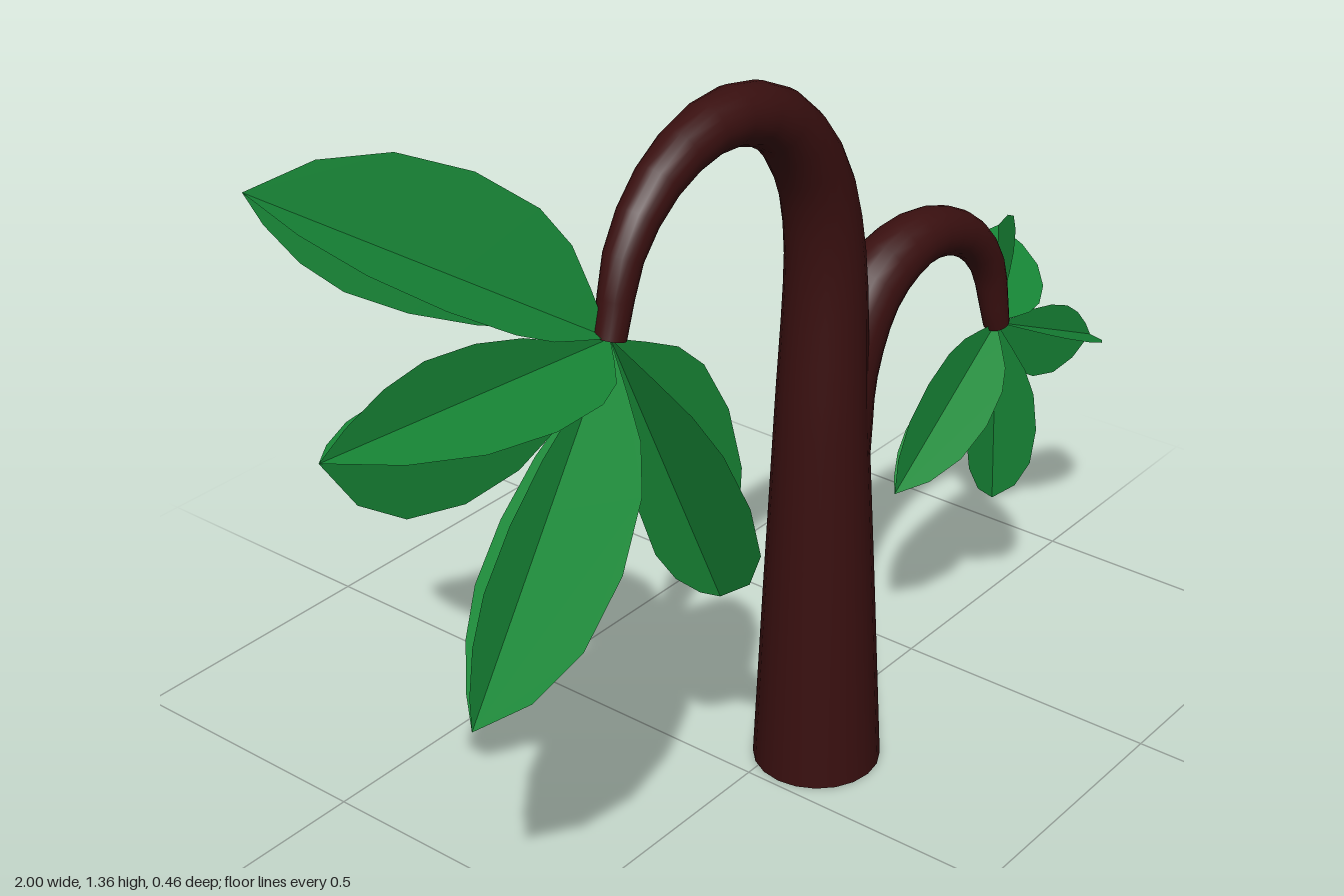
import * as THREE from 'three';

const Z = 0.055; // plane in which both stems bend
const bark = new THREE.MeshStandardMaterial({ color: 0x3a1010, side: THREE.DoubleSide });
const green = new THREE.MeshStandardMaterial({ color: 0x188a38, side: THREE.DoubleSide });

// Tapered bent tube with closed ends; each point is [x, y, radius]
function stem(name, points, segments) {
  const group = new THREE.Group();
  group.name = name;
  const curve = new THREE.CatmullRomCurve3(points.map(([x, y]) => new THREE.Vector3(x, y, Z)));
  const sides = 20;
  const geo = new THREE.TubeGeometry(curve, segments, 1, sides);
  const pos = geo.attributes.position;
  const v = new THREE.Vector3();
  const radiusAt = (u) => {
    const k = curve.getUtoTmapping(u) * (points.length - 1);
    const i = Math.min(Math.floor(k), points.length - 2);
    return THREE.MathUtils.lerp(points[i][2], points[i + 1][2], k - i);
  };
  for (let i = 0; i <= segments; i++) {
    const centre = curve.getPointAt(i / segments);
    const r = radiusAt(i / segments);
    for (let j = 0; j <= sides; j++) {
      const n = i * (sides + 1) + j;
      v.fromBufferAttribute(pos, n).sub(centre).multiplyScalar(r).add(centre);
      pos.setXYZ(n, v.x, v.y, v.z);
    }
  }
  const tube = new THREE.Mesh(geo, bark);
  tube.name = name + 'Tube';
  group.add(tube);
  for (const u of [0, 1]) {
    const cap = new THREE.Mesh(new THREE.CircleGeometry(radiusAt(u), sides), bark);
    const out = curve.getTangentAt(u).multiplyScalar(u ? 1 : -1);
    cap.position.copy(curve.getPointAt(u));
    cap.quaternion.setFromUnitVectors(new THREE.Vector3(0, 0, 1), out);
    cap.name = name + 'End';
    group.add(cap);
  }
  return group;
}

// Lopsided leaf outline, base at the origin and tip at x = 1; +y is the wide side
const outline = [
  [0, 0], [0.11, 0.1], [0.21, 0.185], [0.33, 0.24], [0.52, 0.262], [0.72, 0.23], [0.88, 0.14],
  [1, 0], [0.92, -0.055], [0.8, -0.11], [0.67, -0.138], [0.5, -0.13], [0.33, -0.095], [0.17, -0.04],
];
const leafGeometry = new THREE.ShapeGeometry(new THREE.Shape(outline.map(([x, y]) => new THREE.Vector2(x, y))));

// Leaf of two crossed blades sharing the line from base to tip
function leaf(name, base, tip, wide, widthScale) {
  const group = new THREE.Group();
  group.name = name;
  const along = new THREE.Vector3(...tip).sub(base);
  const length = along.length();
  along.normalize();
  const a = new THREE.Vector3(...wide);
  a.addScaledVector(along, -a.dot(along)).normalize();
  const b = new THREE.Vector3().crossVectors(along, a);
  if (b.z < 0) b.negate();
  for (const side of [a, b]) {
    const normal = new THREE.Vector3().crossVectors(along, side);
    const blade = new THREE.Mesh(leafGeometry, green);
    blade.name = 'leafBlade';
    blade.quaternion.setFromRotationMatrix(new THREE.Matrix4().makeBasis(along, side, normal));
    blade.position.copy(base);
    blade.scale.set(length, length * widthScale, 1);
    group.add(blade);
  }
  return group;
}

export function createModel() {
  const model = new THREE.Group();
  model.name = 'droopingTree';

  // Trunk arching over to the right
  model.add(stem('trunk', [
    [0.125, 0, 0.113], [0.125, 0.33, 0.097], [0.125, 0.66, 0.08], [0.125, 1.0, 0.065],
    [0.085, 1.14, 0.06], [-0.01, 1.25, 0.053], [-0.14, 1.288, 0.046], [-0.27, 1.25, 0.039],
    [-0.36, 1.16, 0.032], [-0.4, 1.03, 0.025],
  ], 30));

  // Side branch arching over to the left
  model.add(stem('branch', [
    [0.135, 0.62, 0.078], [0.165, 0.75, 0.07], [0.25, 0.865, 0.06], [0.385, 0.907, 0.049],
    [0.52, 0.87, 0.04], [0.61, 0.785, 0.032], [0.655, 0.645, 0.024],
  ], 18));

  // Leaf clusters: tip position and direction of the wide side
  const clusters = [
    ['trunkLeaf', new THREE.Vector3(-0.4, 1.03, Z), 1, [
      [[-0.815, 1.325, -0.235], [0.07, 0.13, 0.05]],
      [[-1, 1.095, 0.08], [0, -1, 0]],
      [[-0.745, 0.53, 0.07], [0.8, -0.57, 0]],
      [[-0.165, 0.475, 0.07], [0.9, 0.4, 0]],
    ]],
    ['branchLeaf', new THREE.Vector3(0.655, 0.645, Z), 0.93, [
      [[0.97, 0.67, -0.147], [0.12, 1, 0.33]],
      [[1, 0.485, 0.053], [-0.43, -0.9, 0]],
      [[0.675, 0.27, 0.053], [-1, 0, 0]],
      [[0.35, 0.425, 0.053], [-0.58, 0.81, 0]],
    ]],
  ];
  for (const [name, base, widthScale, leaves] of clusters) {
    leaves.forEach(([tip, wide], i) => model.add(leaf(name + (i + 1), base, tip, wide, widthScale)));
  }
  return model;
}
